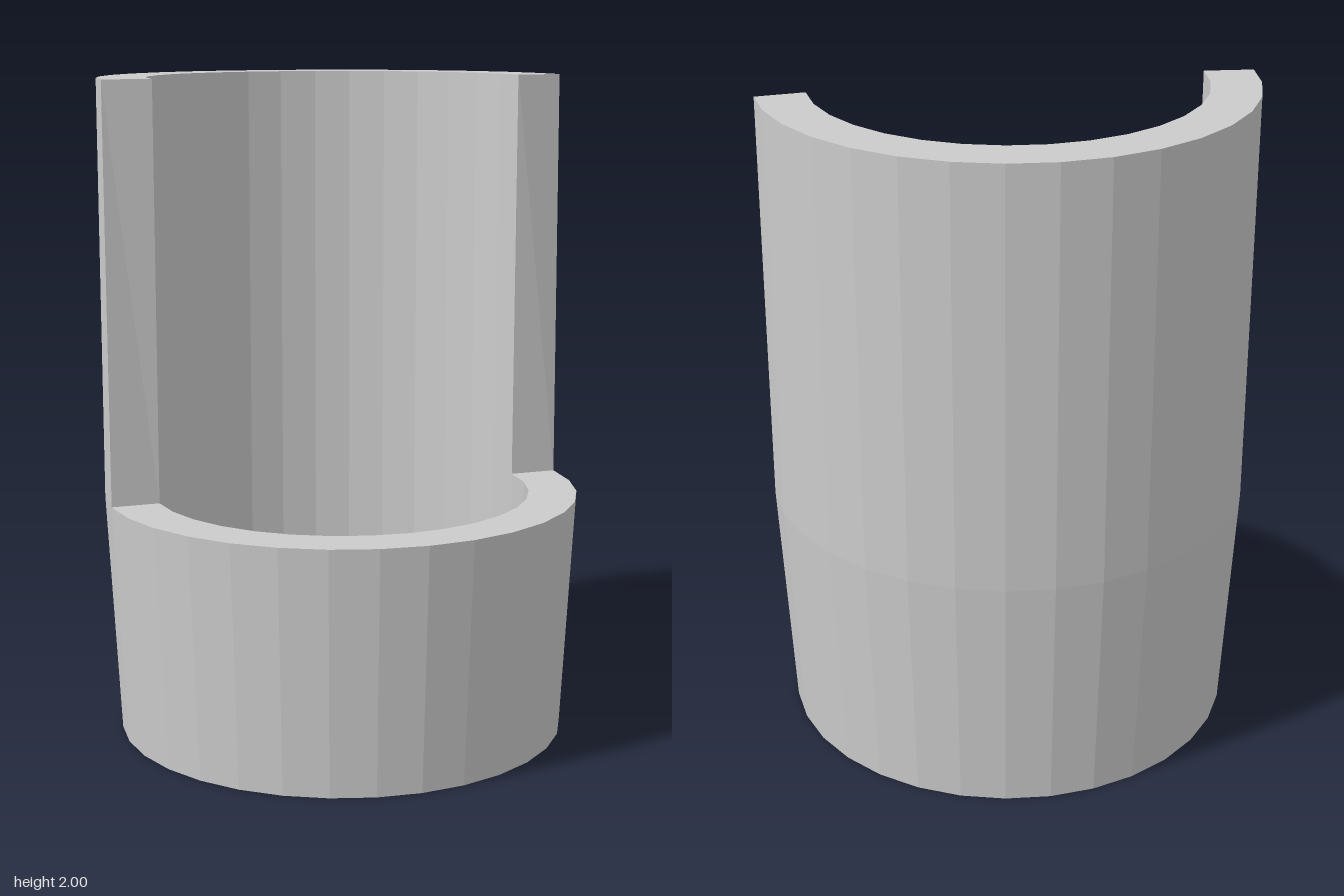
import * as THREE from 'three';

const SIDES = 32;
const OUTER = 0.727, INNER = 0.58, FOOT = 0.688;
const RIM = 0.74, TOP = 2, FLOOR = 0.15;

export function createModel() {
  const group = new THREE.Group();
  group.name = 'cutawayCup';
  const material = new THREE.MeshStandardMaterial({ color: 0xcccccc, flatShading: true });

  // Tapered cup with a closed bottom and a flat rim
  const profile = [[0, 0], [FOOT, 0], [OUTER, RIM], [INNER, RIM], [INNER, FLOOR], [0, FLOOR]]
    .map(([x, y]) => new THREE.Vector2(x, y));
  const cup = new THREE.Mesh(new THREE.LatheGeometry(profile, SIDES), material);
  cup.name = 'cup';
  group.add(cup);

  // Half-round wall standing on the back half of the rim
  const outline = [];
  const half = SIDES / 2;
  const arcPoint = (radius, i) => {
    const a = (i / half) * Math.PI;
    return new THREE.Vector2(Math.cos(a) * radius, Math.sin(a) * radius);
  };
  for (let i = 0; i <= half; i++) outline.push(arcPoint(OUTER, i));
  for (let i = half; i >= 0; i--) outline.push(arcPoint(INNER, i));
  const wallGeometry = new THREE.ExtrudeGeometry(new THREE.Shape(outline), {
    depth: TOP - RIM, bevelEnabled: false,
  });
  wallGeometry.rotateX(-Math.PI / 2).translate(0, RIM, 0);

  // Lean the outer top corners of the two cut faces slightly backward
  const p = wallGeometry.attributes.position;
  for (let i = 0; i < p.count; i++) {
    const outerEnd = Math.abs(p.getX(i)) > 0.7 && Math.abs(p.getZ(i)) < 0.01;
    if (outerEnd && p.getY(i) > RIM + 0.1) p.setZ(i, -0.015);
  }
  wallGeometry.computeVertexNormals();
  const wall = new THREE.Mesh(wallGeometry, material);
  wall.name = 'backWall';
  group.add(wall);

  return group;
}
